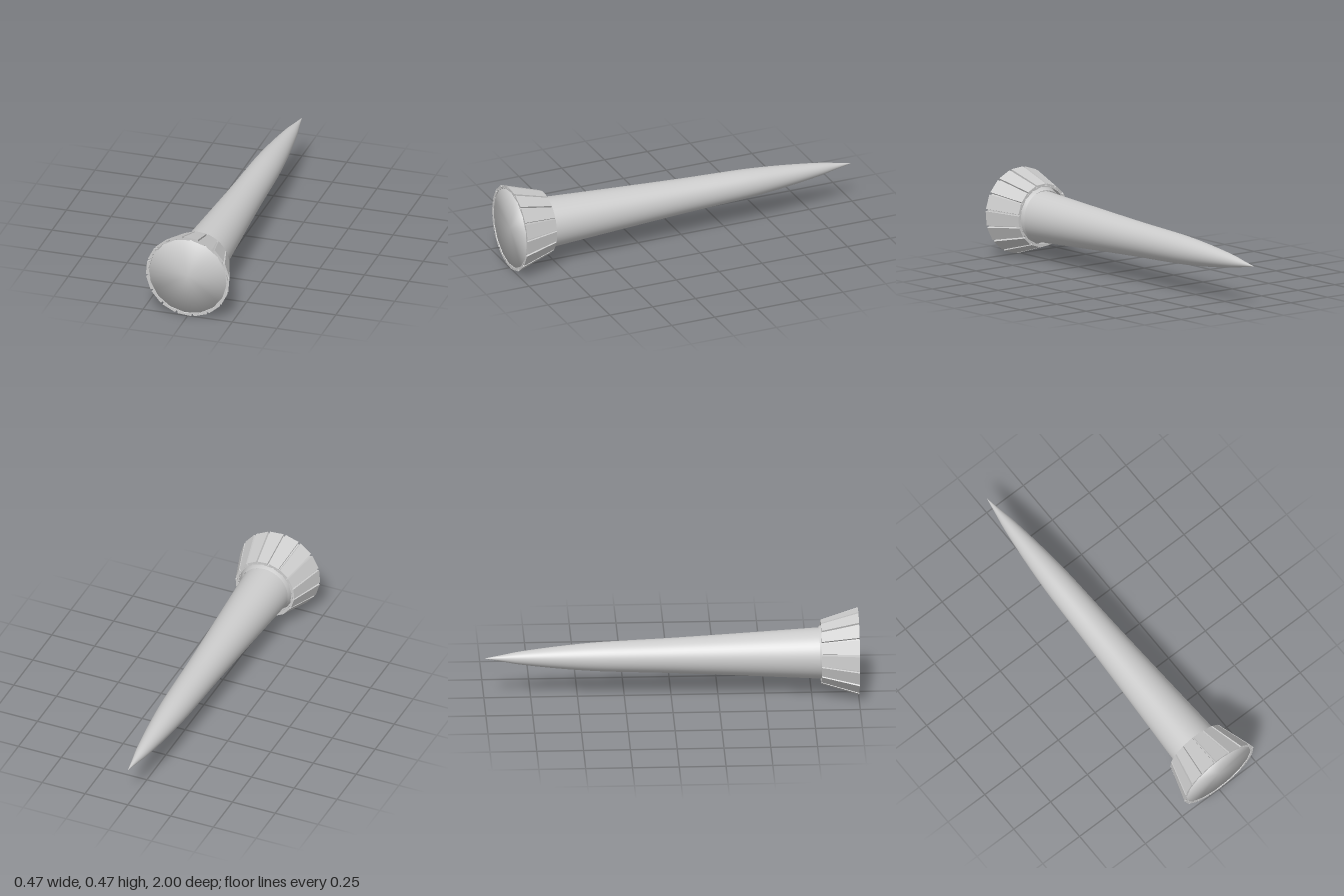
import * as THREE from 'three';

const material = new THREE.MeshStandardMaterial({ color: 0xcccccc, side: THREE.DoubleSide });
const HEAD_Y = 0.235;
const SHAFT_Y = 0.228;
const COUNT = 16;

// Surface of revolution about the z axis; points are [radius, z].
function turned(name, points, y) {
  const geometry = new THREE.LatheGeometry(points.map(([r, z]) => new THREE.Vector2(r, z)), 48);
  geometry.rotateX(Math.PI / 2);
  const mesh = new THREE.Mesh(geometry, material);
  mesh.name = name;
  mesh.position.y = y;
  return mesh;
}

// Flat slat that widens and leans outward from z = 0.8 to z = 1.
function slatGeometry(backRadius, frontRadius, backWidth, frontWidth, thickness) {
  const geometry = new THREE.BoxGeometry(1, thickness, 0.2);
  const p = geometry.attributes.position;
  for (let i = 0; i < p.count; i++) {
    const front = p.getZ(i) > 0;
    p.setX(i, p.getX(i) * (front ? frontWidth : backWidth));
    p.setY(i, p.getY(i) + (front ? frontRadius : backRadius));
    p.setZ(i, front ? 1 : 0.8);
  }
  geometry.computeVertexNormals();
  return geometry;
}

function slatRing(name, geometry, startAngle) {
  const ring = new THREE.Group();
  ring.name = name;
  ring.position.y = HEAD_Y;
  for (let i = 0; i < COUNT; i++) {
    const slat = new THREE.Mesh(geometry, material);
    slat.name = name + 'Slat';
    slat.rotation.z = -(startAngle + (i * 2 * Math.PI) / COUNT);
    ring.add(slat);
  }
  return ring;
}

export function createModel() {
  const model = new THREE.Group();
  model.name = 'spike';

  // Long tapered shaft with a pointed tip at the back
  const taper = new THREE.SplineCurve([
    [0, -1], [0.018, -0.9], [0.036, -0.8], [0.06, -0.6], [0.077, -0.4],
    [0.086, -0.2], [0.094, 0], [0.115, 0.4], [0.1375, 0.8],
  ].map(([r, z]) => new THREE.Vector2(r, z)));
  const profile = taper.getPoints(32).map((v) => [Math.max(v.x, 0), v.y]);
  model.add(turned('shaft', profile, SHAFT_Y));

  // Flared head closed by a softly shaded front face
  model.add(turned('head', [[0.137, 0.79], [0.217, 0.997], [0, 0.998]], HEAD_Y));

  // Collar: outer slats, with inner slats behind the gaps
  const start = THREE.MathUtils.degToRad(4.7);
  model.add(slatRing('outerCollar', slatGeometry(0.164, 0.226, 0.058, 0.079, 0.011), start));
  model.add(slatRing('innerCollar', slatGeometry(0.156, 0.218, 0.054, 0.075, 0.007), start + Math.PI / COUNT));

  return model;
}
